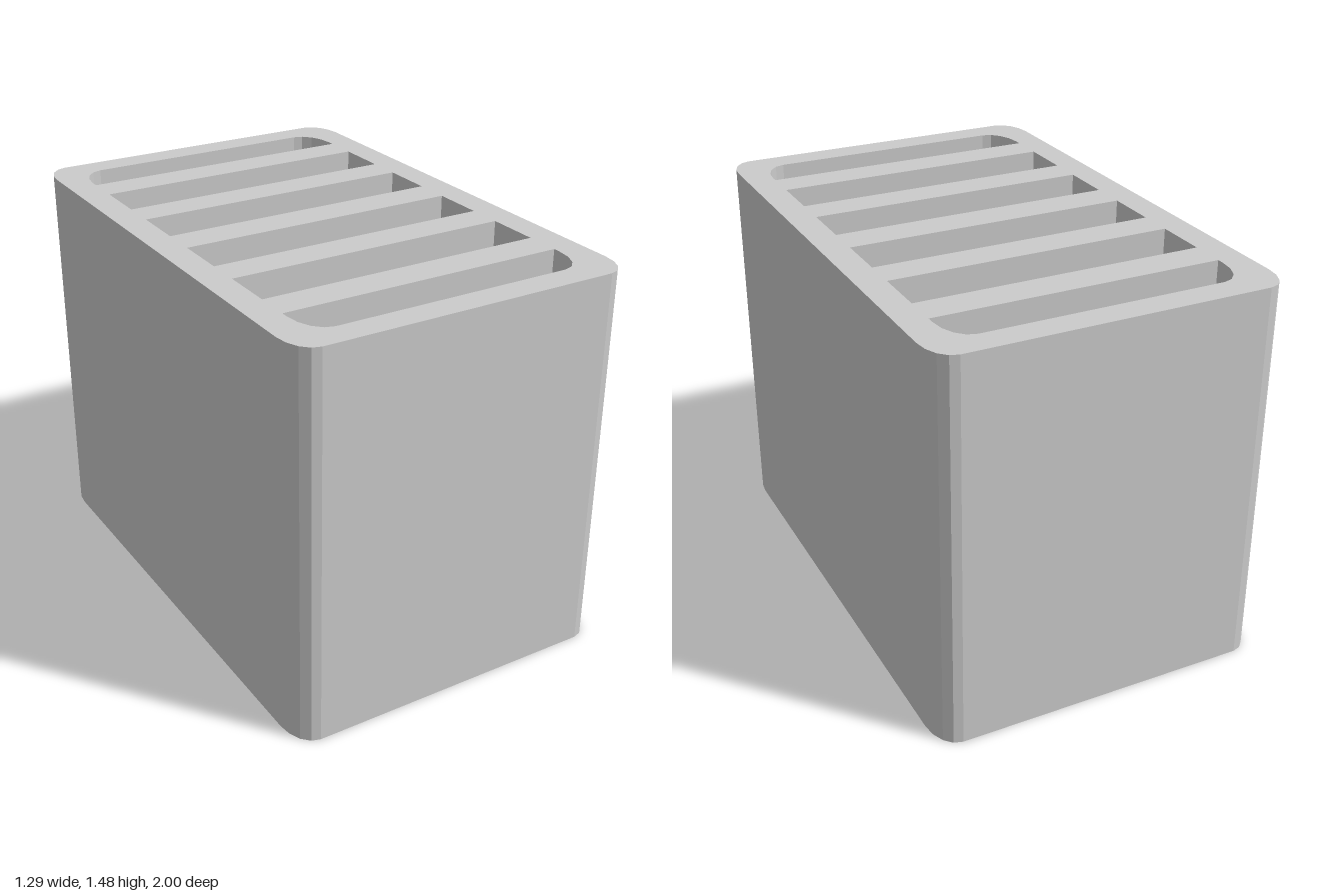
import * as THREE from 'three';

const HEIGHT = 1.475, FLOOR = 0.1;
const CORNER_STEPS = 4;

// Rectangle outline whose top and bottom corner pairs have elliptical rounding
function outline(halfX, y0, y1, rx, topRy, bottomRy) {
  const corners = [
    [1, 1, topRy, 0], [-1, 1, topRy, 1], [-1, -1, bottomRy, 2], [1, -1, bottomRy, 3],
  ];
  const points = [];
  for (const [sx, sy, ry, quarter] of corners) {
    const edge = sy > 0 ? y1 : y0;
    if (ry === 0) {
      points.push(new THREE.Vector2(sx * halfX, edge));
      continue;
    }
    for (let i = 0; i <= CORNER_STEPS; i++) {
      const a = (quarter + i / CORNER_STEPS) * Math.PI / 2;
      points.push(new THREE.Vector2(
        sx * (halfX - rx) + rx * Math.cos(a),
        edge - sy * ry + ry * Math.sin(a)));
    }
  }
  return points;
}

// Extrudes a plan shape upward from height y
function extrudeUp(shape, height, y) {
  const geometry = new THREE.ExtrudeGeometry(shape, { depth: height, bevelEnabled: false });
  return geometry.rotateX(-Math.PI / 2).translate(0, y, 0);
}

export function createModel() {
  const group = new THREE.Group();
  group.name = 'slottedBlock';
  const material = new THREE.MeshStandardMaterial({ color: 0xcccccc, flatShading: true });
  const add = (name, geometry) => {
    const mesh = new THREE.Mesh(geometry, material);
    mesh.name = name;
    group.add(mesh);
  };

  const body = outline(0.645, -1, 1, 0.085, 0.13, 0.13);

  // Closed floor under the slots
  add('floor', extrudeUp(new THREE.Shape(body), FLOOR, 0));

  // Walls and dividers with six deep slots
  const walls = new THREE.Shape(body);
  for (const center of [-0.498, -0.168, 0.168, 0.498]) {
    walls.holes.push(new THREE.Path(outline(0.54, center - 0.101, center + 0.101, 0, 0, 0)));
  }
  // End slots keep the rounded corners of the cavity
  walls.holes.push(new THREE.Path(outline(0.54, 0.728, 0.895, 0.09, 0.14, 0)));
  walls.holes.push(new THREE.Path(outline(0.54, -0.895, -0.728, 0.09, 0, 0.14)));
  add('wallsAndDividers', extrudeUp(walls, HEIGHT - FLOOR, FLOOR));

  return group;
}
